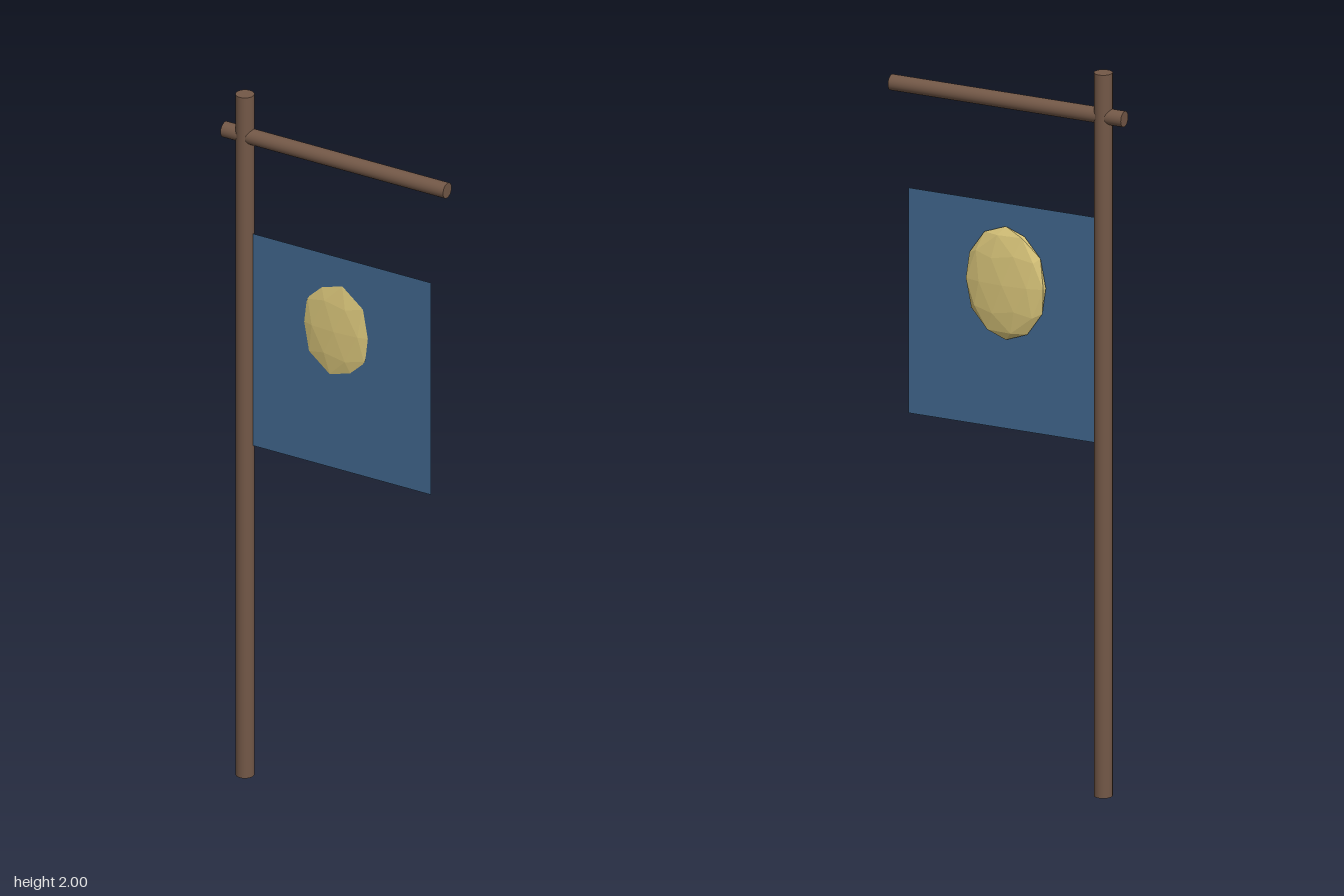
import * as THREE from 'three';

const wood = new THREE.MeshStandardMaterial({ color: 0x735847 });
const cloth = new THREE.MeshStandardMaterial({ color: 0x40668c, side: THREE.DoubleSide });
const gold = new THREE.MeshStandardMaterial({ color: 0xd9c57a, flatShading: true });

const POLE_X = -0.281;
const AXIS_Z = 0.006; // shared plane of pole, crossbar and cloth

export function createModel() {
  const group = new THREE.Group();
  const add = (name, geometry, material, x, y, z) => {
    const mesh = new THREE.Mesh(geometry, material);
    mesh.name = name;
    mesh.position.set(x, y, z);
    group.add(mesh);
    return mesh;
  };

  // Upright pole and the crossbar passing through it
  add('pole', new THREE.CylinderGeometry(0.025, 0.025, 2, 24), wood, POLE_X, 1, AXIS_Z);
  const bar = new THREE.CylinderGeometry(0.0215, 0.0215, 0.687, 24).rotateZ(Math.PI / 2);
  add('crossbar', bar, wood, 0, 1.88, AXIS_Z);

  // Flat cloth, from the pole's axis to its free edge
  const freeEdge = 0.293;
  add('banner', new THREE.PlaneGeometry(freeEdge - POLE_X, 0.623), cloth,
    (freeEdge + POLE_X) / 2, 1.284, AXIS_Z);

  // Faceted oval emblem, an icosphere with its poles up and down, set slightly to the back
  const golden = (1 + Math.sqrt(5)) / 2;
  const emblem = new THREE.IcosahedronGeometry(1, 1)
    .rotateX(-Math.atan(golden))
    .rotateY(Math.PI / 2)
    .scale(0.12, 0.157, 0.025);
  add('emblem', emblem, gold, 0, 1.379, -0.0063);

  return group;
}
